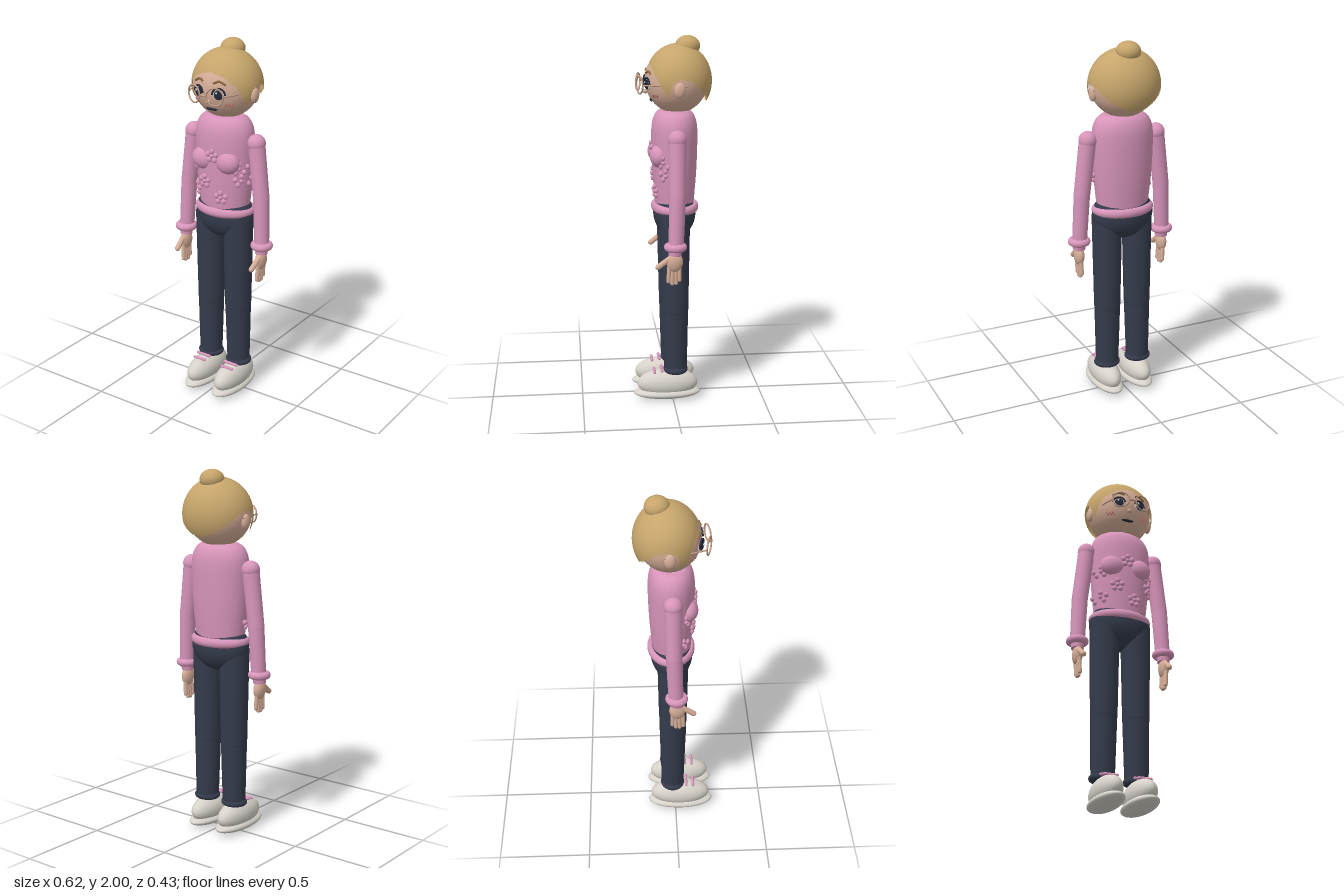
import * as THREE from 'three';

const mat = (name, color) => {
  const m = new THREE.MeshStandardMaterial({ color });
  m.name = name;
  return m;
};

export function createModel() {
  const skin = mat('skin', 0xd6ae98), hairMat = mat('hair', 0xc6a56b), pink = mat('sweater pink', 0xd795b9);
  const navy = mat('trouser navy', 0x343b4b), white = mat('shoe white', 0xd6d2ca), dark = mat('eye dark', 0x23293a);
  const blush = mat('blush', 0xc97672), frame = mat('glasses frame', 0xc19a82);
  const brow = mat('brow', 0x8f6d40);
  const hairShellMat = mat('hair shell', 0xc6a56b);
  hairShellMat.side = THREE.DoubleSide;

  const model = new THREE.Group();
  model.name = 'woman';
  const V = (x, y, z) => new THREE.Vector3(x, y, z);

  const add = (name, geo, m, x = 0, y = 0, z = 0) => {
    const mesh = new THREE.Mesh(geo, m);
    mesh.name = name;
    mesh.position.set(x, y, z);
    model.add(mesh);
    return mesh;
  };
  const ball = (name, m, x, y, z, rx, ry = rx, rz = rx, seg = 32) => {
    const mesh = add(name, new THREE.SphereGeometry(1, seg, seg / 2), m, x, y, z);
    mesh.scale.set(rx, ry, rz);
    return mesh;
  };
  // Tapered limb from a to b
  const limb = (name, m, a, b, ra, rb, seg = 28) => {
    const d = b.clone().sub(a), mid = a.clone().lerp(b, 0.5);
    const mesh = add(name, new THREE.CylinderGeometry(rb, ra, d.length(), seg), m, mid.x, mid.y, mid.z);
    mesh.quaternion.setFromUnitVectors(V(0, 1, 0), d.normalize());
    return mesh;
  };
  // Round-ended rod from a to b
  const rod = (name, m, a, b, r) => {
    const d = b.clone().sub(a), mid = a.clone().lerp(b, 0.5);
    const mesh = add(name, new THREE.CapsuleGeometry(r, d.length(), 6, 14), m, mid.x, mid.y, mid.z);
    mesh.quaternion.setFromUnitVectors(V(0, 1, 0), d.normalize());
    return mesh;
  };
  // Horizontal ring
  const ring = (name, m, x, y, z, rx, rz, tube) => {
    const mesh = add(name, new THREE.TorusGeometry(rx, tube, 16, 40).rotateX(Math.PI / 2), m, x, y, z);
    mesh.scale.z = rz / rx;
    return mesh;
  };

  // Head
  const HC = V(0, 1.768, -0.03), HR = V(0.18, 0.178, 0.168);
  const faceZ = (x, y) => HC.z + HR.z * Math.sqrt(1 - (x / HR.x) ** 2 - ((y - HC.y) / HR.y) ** 2);
  ball('head', skin, HC.x, HC.y, HC.z, HR.x, HR.y, HR.z, 48);

  // Hair cap: a sphere whose lower rim follows a hairline (degrees from the front, height)
  const line = [[0, 1.855], [25, 1.835], [45, 1.785], [58, 1.72], [67, 1.67], [73, 1.765], [90, 1.785],
    [108, 1.77], [135, 1.70], [160, 1.655], [180, 1.645]];
  const rimAt = (deg) => {
    let i = 1;
    while (i < line.length - 1 && deg > line[i][0]) i++;
    const [a, ya] = line[i - 1], [b, yb] = line[i];
    return ya + (yb - ya) * Math.min(1, (deg - a) / (b - a));
  };
  const cap = new THREE.SphereGeometry(1, 96, 24);
  const p = cap.attributes.position, uv = cap.attributes.uv;
  for (let i = 0; i < p.count; i++) {
    const col = i % 97, row = Math.floor(i / 97);
    const az = (col / 96) * Math.PI * 2;
    const deg = THREE.MathUtils.radToDeg(Math.PI - Math.abs(az - Math.PI));
    const th = (row / 24) * Math.acos((rimAt(deg) - 1.763) / 0.196);
    p.setXYZ(i, Math.sin(az) * Math.sin(th), Math.cos(th), Math.cos(az) * Math.sin(th));
    cap.attributes.normal.setXYZ(i, p.getX(i), p.getY(i), p.getZ(i));
  }
  add('hair', cap, hairShellMat, 0, 1.763, -0.04).scale.set(0.196, 0.196, 0.177);
  ball('hairBun', hairMat, 0, 1.945, -0.088, 0.066, 0.055, 0.066);

  // Face
  ball('nose', skin, 0, 1.708, faceZ(0, 1.708) + 0.008, 0.013, 0.012, 0.014, 20);
  ball('mouth', dark, 0, 1.662, faceZ(0, 1.662), 0.036, 0.008, 0.008, 20);
  rod('glassesBridge', frame, V(-0.02, 1.752, 0.184), V(0.02, 1.752, 0.184), 0.005);

  for (const s of [-1, 1]) {
    ball('ear', skin, s * 0.176, 1.732, -0.03, 0.02, 0.042, 0.03, 24);

    // Eye, lashes and brow
    const ex = s * 0.062, ey = 1.752, ez = faceZ(ex, ey);
    const tilt = s * 0.35;
    ball('eyeWhite', white, ex, ey, ez, 0.034, 0.03, 0.01, 24).rotation.y = tilt;
    ball('iris', dark, ex, ey, ez + 0.006, 0.025, 0.026, 0.009, 24).rotation.y = tilt;
    ball('eyeGlint', white, ex - 0.008, ey + 0.01, ez + 0.015, 0.006, 0.006, 0.004, 12);
    const lash = add('eyelashes', new THREE.TorusGeometry(0.034, 0.005, 8, 24, Math.PI), dark, ex, ey, ez + 0.006);
    lash.rotation.y = tilt;
    const browPts = [[0.03, 1.808], [0.06, 1.82], [0.095, 1.803]].map(([x, y]) => V(s * x, y, faceZ(x, y) + 0.004));
    add('eyebrow', new THREE.TubeGeometry(new THREE.CatmullRomCurve3(browPts), 12, 0.006, 8), brow);

    // Blush strokes
    for (const k of [-1, 0, 1]) {
      const bx = 0.098 + k * 0.013;
      rod('blushStroke', blush, V(s * (bx - 0.004), 1.689, faceZ(bx - 0.004, 1.689)),
        V(s * (bx + 0.004), 1.701, faceZ(bx + 0.004, 1.701)), 0.004);
    }

    // Glasses
    add('glassesRim', new THREE.TorusGeometry(0.046, 0.0045, 10, 40), frame, s * 0.064, 1.75, 0.171).rotation.y = s * 0.3;
    rod('glassesHinge', frame, V(s * 0.106, 1.752, 0.158), V(s * 0.13, 1.752, 0.1), 0.004);
    rod('glassesTemple', frame, V(s * 0.13, 1.752, 0.1), V(s * 0.186, 1.752, -0.065), 0.004);
  }

  // Sweater body
  const body = [[0, 1.06], [0.14, 1.06], [0.152, 1.16], [0.164, 1.28], [0.17, 1.4], [0.171, 1.49],
    [0.163, 1.545], [0.142, 1.585], [0.11, 1.608], [0, 1.615]];
  const bodyCurve = new THREE.SplineCurve(body.slice(1, -1).map(([r, y]) => new THREE.Vector2(r, y)));
  const profile = [new THREE.Vector2(0, 1.06), ...bodyCurve.getPoints(30), new THREE.Vector2(0, 1.615)];
  add('sweaterBody', new THREE.LatheGeometry(profile, 48), pink, 0, 0, -0.018).scale.z = 0.72;
  ring('sweaterHem', pink, 0, 1.082, -0.02, 0.15, 0.11, 0.025);
  for (const s of [-1, 1]) ball('bust', pink, s * 0.076, 1.372, 0.068, 0.07, 0.062, 0.052);

  // Knitted flowers laid on the sweater
  const bodyR = (y) => {
    let i = 2;
    while (y > body[i][1]) i++;
    const [ra, ya] = body[i - 1], [rb, yb] = body[i];
    return ra + (rb - ra) * (y - ya) / (yb - ya);
  };
  const frontZ = (x, y) => -0.018 + 0.72 * Math.sqrt(Math.max(0, bodyR(y) ** 2 - x * x));
  const flowers = [[-0.138, 1.335], [0, 1.405], [0.138, 1.345], [-0.055, 1.252], [-0.135, 1.185], [0.045, 1.175], [0.145, 1.275]];
  for (const [fx, fy] of flowers) {
    for (let k = 0; k < 5; k++) {
      const a = Math.PI / 2 + k * Math.PI * 0.4;
      const x = fx + 0.026 * Math.cos(a), y = fy + 0.026 * Math.sin(a);
      ball('flowerPetal', pink, x, y, frontZ(x, y) + 0.003, 0.015, 0.015, 0.011, 14);
    }
    ball('flowerCentre', pink, fx, fy, frontZ(fx, fy) + 0.005, 0.012, 0.012, 0.012, 14);
  }

  // Arms and hands
  for (const s of [-1, 1]) {
    const shoulder = V(s * 0.2, 1.48, -0.015), elbow = V(s * 0.236, 1.18, -0.012), wrist = V(s * 0.249, 0.91, -0.003);
    ball('shoulder', pink, shoulder.x, shoulder.y, shoulder.z, 0.049);
    limb('upperSleeve', pink, shoulder, elbow, 0.046, 0.044);
    ball('elbow', pink, elbow.x, elbow.y, elbow.z, 0.044);
    limb('lowerSleeve', pink, elbow, wrist, 0.044, 0.04);
    ring('sleeveCuff', pink, s * 0.25, 0.917, 0, 0.04, 0.04, 0.021);
    limb('cuffBand', pink, V(s * 0.249, 0.92, 0), V(s * 0.25, 0.872, 0.003), 0.038, 0.034);

    ball('palm', skin, s * 0.25, 0.835, 0.004, 0.027, 0.055, 0.044, 24);
    [0.031, 0.011, -0.009, -0.028].forEach((z, i) => {
      const tip = [0.728, 0.716, 0.718, 0.735][i];
      rod('finger', skin, V(s * 0.25, 0.82, z * 0.9 + 0.004), V(s * 0.246, tip, z + 0.006), 0.0115);
    });
    rod('thumb', skin, V(s * 0.252, 0.855, 0.03), V(s * 0.246, 0.808, 0.092), 0.015);
  }

  // Trousers
  ball('hips', navy, 0, 1.05, -0.018, 0.175, 0.14, 0.115, 40);
  for (const s of [-1, 1]) {
    const hip = V(s * 0.09, 1.04, -0.012), knee = V(s * 0.091, 0.52, -0.014), ankle = V(s * 0.094, 0.165, -0.016);
    limb('upperLeg', navy, hip, knee, 0.083, 0.073);
    ball('knee', navy, knee.x, knee.y, knee.z, 0.073);
    limb('lowerLeg', navy, knee, ankle, 0.072, 0.063);
    ring('trouserCuff', navy, s * 0.095, 0.172, -0.016, 0.057, 0.052, 0.017);

    // Shoes with laces
    ball('shoeSole', white, s * 0.093, 0.036, 0.03, 0.08, 0.034, 0.185, 40);
    ball('shoeUpper', white, s * 0.093, 0.09, 0.028, 0.073, 0.08, 0.168, 40);
    for (const [z, y, w] of [[0.102, 0.163, 0.034], [0.062, 0.172, 0.04]]) {
      rod('shoelace', pink, V(s * 0.093 - w, y, z), V(s * 0.093 + w, y, z), 0.008);
    }
  }
  return model;
}
